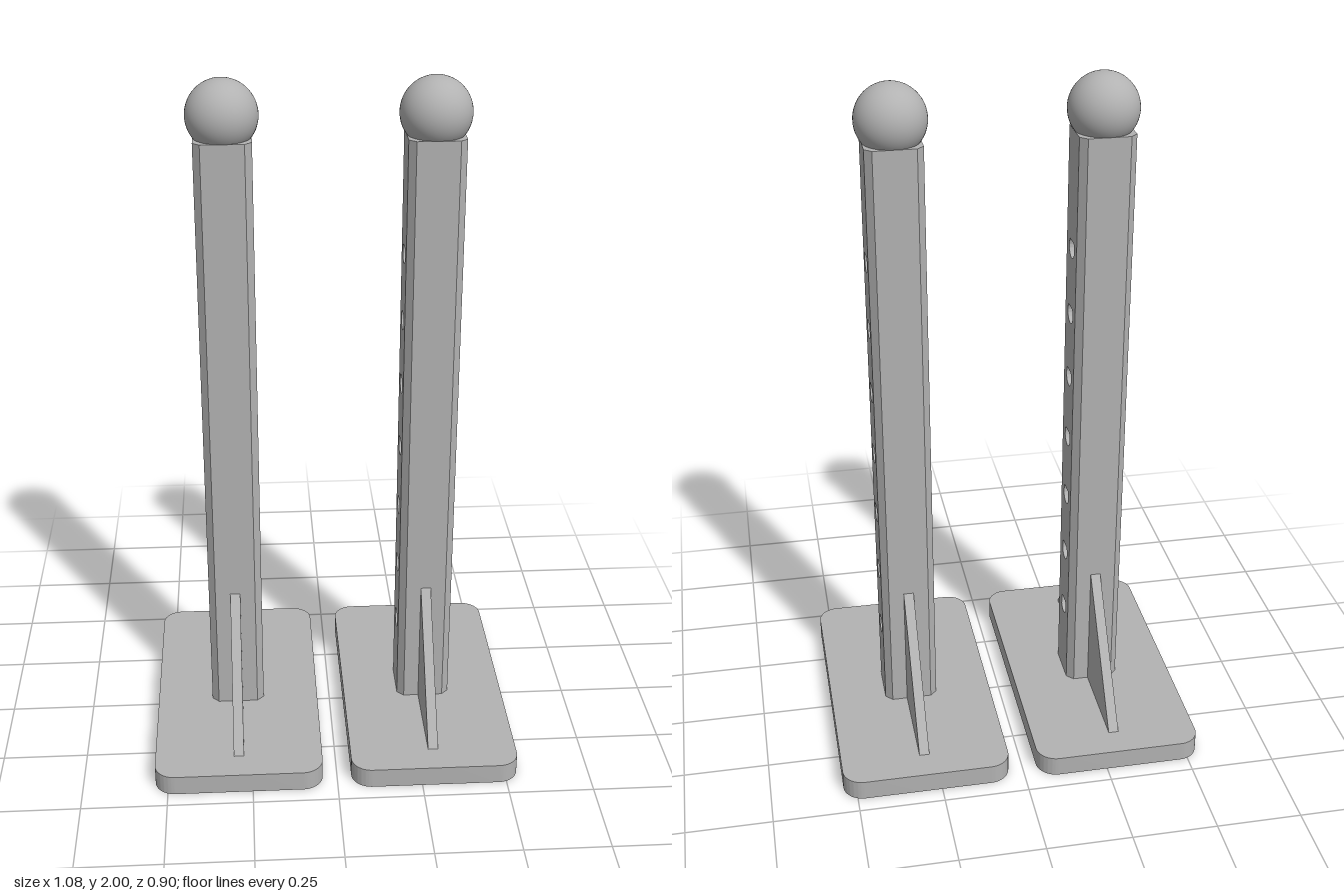
import * as THREE from 'three';
import { toCreasedNormals } from 'three/addons/utils/BufferGeometryUtils.js';

const POST_X = 0.29, BASE_H = 0.06, POST_TOP = 1.84, HALF = 0.08, CHAMFER = 0.02;

// Flat slab with rounded corners, lying on y = 0
function baseGeometry() {
  const w = 0.2475, d = 0.45, r = 0.06;
  const s = new THREE.Shape();
  s.absarc(w - r, d - r, r, 0, Math.PI / 2);
  s.absarc(-w + r, d - r, r, Math.PI / 2, Math.PI);
  s.absarc(-w + r, -d + r, r, Math.PI, Math.PI * 1.5);
  s.absarc(w - r, -d + r, r, Math.PI * 1.5, Math.PI * 2);
  const g = new THREE.ExtrudeGeometry(s, { depth: BASE_H, bevelEnabled: false, curveSegments: 10 });
  g.rotateX(-Math.PI / 2);
  return toCreasedNormals(g, 0.6);
}

// Square post with chamfered corners and teardrop holes running through in x
function postGeometry() {
  const s = new THREE.Shape();
  s.moveTo(-HALF, BASE_H);
  s.lineTo(HALF, BASE_H);
  s.lineTo(HALF, POST_TOP);
  s.lineTo(-HALF, POST_TOP);
  s.closePath();
  const r = 0.03;
  for (let i = 0; i < 7; i++) {
    const y = 0.3 + i * 0.2;
    const hole = new THREE.Path();
    hole.moveTo(0, y + r * Math.SQRT2);
    hole.absarc(0, y, r, Math.PI * 0.75, Math.PI * 2.25, false);
    hole.closePath();
    s.holes.push(hole);
  }
  const g = new THREE.ExtrudeGeometry(s, {
    depth: 2 * HALF, steps: Math.round(2 * HALF / CHAMFER), bevelEnabled: false, curveSegments: 20,
  });
  g.translate(0, 0, -HALF);
  // Pull in the outline of both end faces to form the corner chamfers
  const p = g.attributes.position;
  for (let i = 0; i < p.count; i++) {
    const u = p.getX(i);
    if (Math.abs(p.getZ(i)) > HALF - 0.001 && Math.abs(u) > HALF - 0.001) {
      p.setX(i, Math.sign(u) * (HALF - CHAMFER));
    }
  }
  g.rotateY(Math.PI / 2);
  return toCreasedNormals(g, 0.5);
}

// Triangular brace reaching towards +z
function gussetGeometry() {
  const t = 0.03;
  const s = new THREE.Shape([
    new THREE.Vector2(-0.36, BASE_H),
    new THREE.Vector2(-0.07, BASE_H),
    new THREE.Vector2(-0.07, 0.45),
    new THREE.Vector2(-0.08, 0.45),
  ]);
  const g = new THREE.ExtrudeGeometry(s, { depth: t, bevelEnabled: false });
  g.translate(0, 0, -t / 2);
  g.rotateY(Math.PI / 2);
  return g;
}

export function createModel() {
  const grey = new THREE.MeshStandardMaterial({ color: 0xb2b2b2 });
  grey.name = 'grey';
  const base = baseGeometry(), post = postGeometry(), gusset = gussetGeometry();
  const ball = new THREE.SphereGeometry(0.1, 48, 32);

  const model = new THREE.Group();
  model.name = 'standPair';
  for (const side of [1, -1]) {
    const stand = new THREE.Group();
    stand.name = side > 0 ? 'leftStand' : 'rightStand';
    stand.position.x = side * POST_X;
    const add = (geometry, name) => {
      const m = new THREE.Mesh(geometry, grey);
      m.name = name;
      stand.add(m);
      return m;
    };
    add(base, 'base');
    add(post, 'post');
    add(ball, 'ballCap').position.y = 1.9;
    add(gusset, 'frontGusset');
    add(gusset, 'backGusset').rotation.y = Math.PI;
    model.add(stand);
  }
  return model;
}
